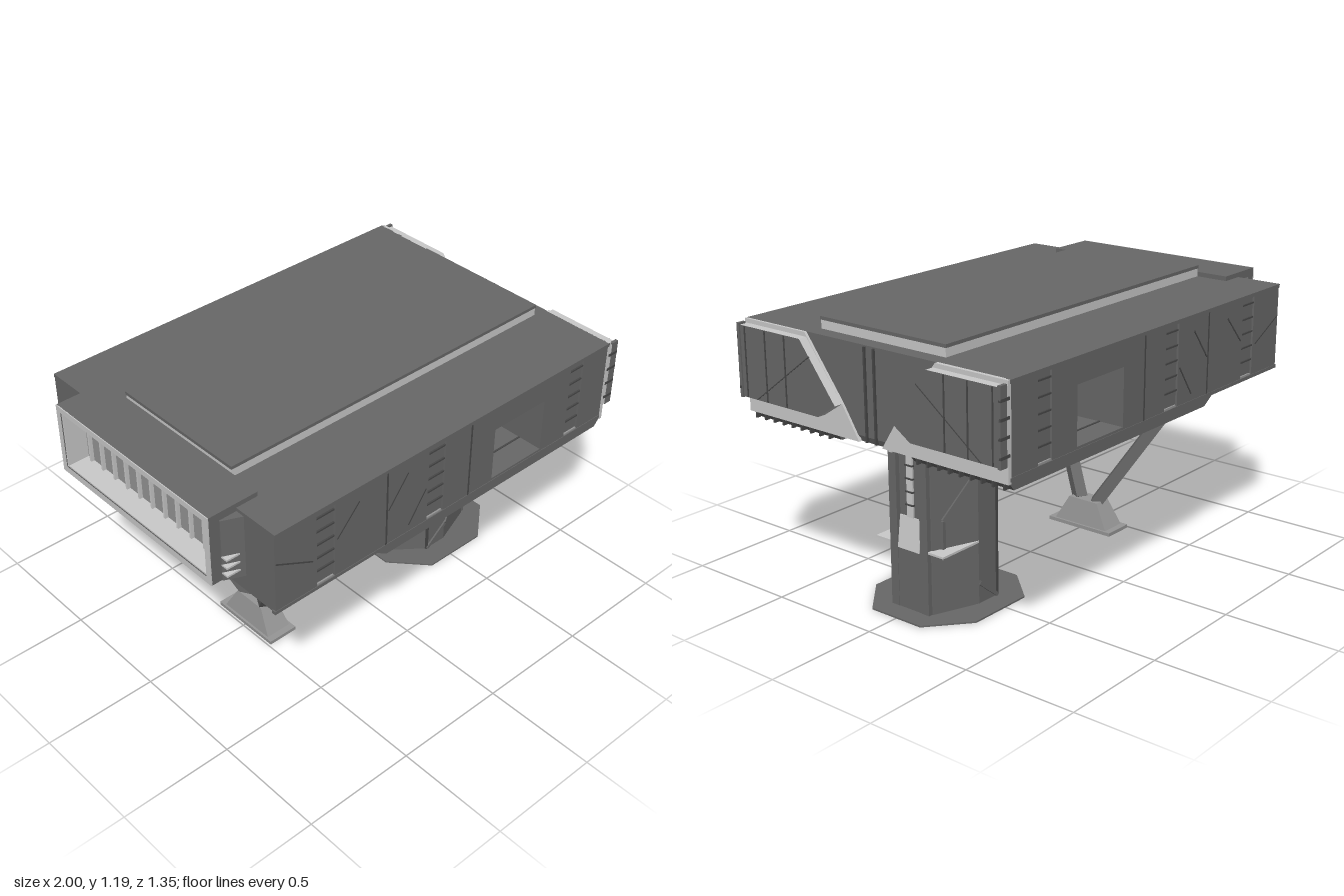
import * as THREE from 'three';

const mat = (name, color) => {
  const m = new THREE.MeshStandardMaterial({ color });
  m.name = name;
  return m;
};

export function createModel() {
  const root = new THREE.Group();
  root.name = 'raisedPlatformBuilding';
  const hull = mat('hullGrey', 0x686868);
  const light = mat('lightGrey', 0xcacaca);
  const seam = mat('seamGrey', 0x484848);
  const mid = mat('footGrey', 0x969696);

  const add = (name, geo, m) => {
    const mesh = new THREE.Mesh(geo, m);
    mesh.name = name;
    root.add(mesh);
    return mesh;
  };
  // Box given by its limits
  const box = (name, m, x0, x1, y0, y1, z0, z1) => {
    const g = new THREE.BoxGeometry(x1 - x0, y1 - y0, z1 - z0);
    g.translate((x0 + x1) / 2, (y0 + y1) / 2, (z0 + z1) / 2);
    return add(name, g, m);
  };
  // The same box on both sides of the z = 0 plane
  const boxPair = (name, m, x0, x1, y0, y1, z0, z1) => {
    box(name + 'Left', m, x0, x1, y0, y1, z0, z1);
    box(name + 'Right', m, x0, x1, y0, y1, -z1, -z0);
  };
  const shapeOf = (pts, hole) => {
    const s = new THREE.Shape(pts.map(p => new THREE.Vector2(...p)));
    if (hole) s.holes.push(new THREE.Path(hole.map(p => new THREE.Vector2(...p))));
    return s;
  };
  const extrude = (shape, depth) => new THREE.ExtrudeGeometry(shape, { depth, bevelEnabled: false });
  // Outline in (x, y), extruded along z
  const alongZ = (name, m, pts, z0, z1, hole) =>
    add(name, extrude(shapeOf(pts, hole), z1 - z0).translate(0, 0, z0), m);
  // Outline in (z, y), extruded along x
  const alongX = (name, m, pts, x0, x1, hole) => {
    const flip = a => a && a.map(([z, y]) => [-z, y]);
    return add(name, extrude(shapeOf(flip(pts), flip(hole)), x1 - x0).rotateY(Math.PI / 2).translate(x0, 0, 0), m);
  };
  // Outline in (x, z), extruded upward
  const alongY = (name, m, pts, y0, y1) =>
    add(name, extrude(shapeOf(pts.map(([x, z]) => [x, -z])), y1 - y0).rotateX(-Math.PI / 2).translate(0, y0, 0), m);
  // Square bar between two points
  const bar = (name, m, a, b, w, d = w) => {
    const A = new THREE.Vector3(...a), B = new THREE.Vector3(...b);
    const mesh = add(name, new THREE.BoxGeometry(w, d, A.distanceTo(B)), m);
    mesh.position.copy(A).lerp(B, 0.5);
    mesh.lookAt(B);
  };
  const rect = (a, b, c, d) => [[a, c], [b, c], [b, d], [a, d]];

  // Main hall with a passage running through it
  const opening = rect(0.27, 0.56, 0.79, 1.03);
  alongZ('hall', hull, [[-0.87, 0.77], [-0.38, 0.77], [-0.35, 0.755], [0.935, 0.755], [0.945, 0.78], [0.945, 1.14], [-0.87, 1.14]],
    -0.662, 0.662, opening);
  alongZ('passageBrace', hull, [[0.52, 0.79], [0.56, 0.79], [0.56, 0.88]], -0.1, 0.1);
  for (let i = -4; i <= 4; i++) {
    box('passageFloorSeam', seam, 0.27, 0.56, 0.788, 0.793, i * 0.14 - 0.004, i * 0.14 + 0.004);
    box('passageCeilingSeam', seam, 0.27, 0.56, 1.027, 1.032, i * 0.14 - 0.004, i * 0.14 + 0.004);
  }

  // Underside slabs either side of a centre channel
  for (const s of [-1, 1]) {
    alongZ('undersideSlab', hull, [[-0.38, 0.772], [-0.31, 0.727], [0.92, 0.727], [0.945, 0.757], [0.945, 0.772]],
      s > 0 ? 0.19 : -0.668, s > 0 ? 0.668 : -0.19);
    for (let i = 0; i < 9; i++) {
      const z = s * (0.23 + i * 0.052);
      box('skirtStud', seam, 0.93, 0.95, 0.73, 0.752, z - 0.004, z + 0.004);
    }
  }

  // Raised wall panels, leaving three recessed ladder columns
  for (const [x0, x1] of [[-0.87, -0.67], [-0.58, -0.32], [-0.315, -0.1], [-0.01, 0.13], [0.79, 0.945]])
    boxPair('wallPanel', hull, x0, x1, 0.78, 1.125, 0.66, 0.671);
  for (const s of [-1, 1])
    alongZ('doorPanel', hull, rect(0.135, 0.71, 0.78, 1.125), s > 0 ? 0.66 : -0.671, s > 0 ? 0.671 : -0.66, opening);
  for (const x of [-0.625, -0.055, 0.75]) {
    for (let i = 0; i < 5; i++)
      boxPair('columnRung', seam, x - 0.044, x + 0.044, 0.845 + i * 0.062, 0.852 + i * 0.062, 0.66, 0.669);
    boxPair('columnFoot', mid, x - 0.04, x + 0.04, 0.775, 0.787, 0.66, 0.669);
  }
  boxPair('topRim', hull, -0.87, 0.945, 1.125, 1.14, 0.655, 0.675);
  boxPair('bottomRim', hull, -0.875, 0.945, 0.765, 0.78, 0.655, 0.673);
  for (const x of [-0.3175, 0.1325])
    boxPair('wallSeam', seam, x - 0.004, x + 0.004, 0.78, 1.125, 0.665, 0.6725);
  for (const z of [-0.671, 0.671]) {
    bar('wallCrease', seam, [-0.865, 1.0, z], [-0.69, 0.913, z], 0.003, 0.006);
    bar('wallCrease', seam, [-0.57, 0.95, z], [-0.46, 1.07, z], 0.003, 0.006);
    bar('wallCrease', seam, [-0.31, 0.94, z], [-0.21, 1.07, z], 0.003, 0.006);
    bar('wallCrease', seam, [-0.2, 0.81, z], [-0.11, 0.94, z], 0.003, 0.006);
  }

  // Roof deck: pale edge under a dark cap
  box('roofEdge', light, -0.77, 0.88, 1.14, 1.176, -0.32, 0.32);
  box('roofCap', hull, -0.772, 0.882, 1.176, 1.19, -0.323, 0.323);

  // Shield panels and pale skirt on the right end
  for (const s of [-1, 1]) {
    const side = pts => pts.map(([z, y]) => [s * z, y]);
    alongX('endSkirt', light, side([[0.673, 0.757], [0.06, 0.757], [0.145, 0.89], [0.335, 1.14], [0.673, 1.14]]), 0.94, 0.956);
    alongX('shieldPanel', [hull, light],
      side([[0.673, 0.828], [0.24, 0.828], [0.145, 0.89], [0.325, 1.122], [0.673, 1.122]]), 0.956, 0.994);
    bar('shieldCrease', seam, [0.994, 1.06, s * 0.275], [0.994, 0.83, s * 0.58], 0.004);
    for (const z of [0.41, 0.52, 0.635])
      box('shieldSeam', seam, 0.99, 0.997, 0.83, 1.12, s * z - 0.003, s * z + 0.003);
    box('shieldEdge', hull, 0.965, 1.0, 0.825, 1.13, s * 0.668 - 0.007, s * 0.668 + 0.007);
    for (let i = 0; i < 4; i++)
      box('shieldHinge', seam, 0.95, 1.0, 0.86 + i * 0.07, 0.872 + i * 0.07, s * 0.67 - 0.006, s * 0.67 + 0.006);
    box('centreRib', seam, 0.94, 0.954, 0.76, 1.135, s * 0.024 - 0.004, s * 0.024 + 0.004);
  }

  // Window bay on the left end
  alongX('windowBay', hull, rect(-0.467, 0.467, 0.845, 1.16), -0.996, -0.77, rect(-0.44, 0.44, 0.875, 1.135));
  alongX('bayFrame', light, rect(-0.467, 0.467, 0.845, 1.16), -1, -0.995, rect(-0.44, 0.44, 0.875, 1.135));
  box('baySill', light, -0.995, -0.87, 0.873, 0.88, -0.44, 0.44);
  boxPair('bayJamb', light, -0.995, -0.87, 0.875, 1.135, 0.434, 0.441);
  box('bayGlazing', mid, -0.9, -0.86, 0.875, 1.135, -0.44, 0.44);
  for (let i = -5; i <= 5; i++)
    box('bayMullion', light, -0.915, -0.9, 0.875, 1.135, i * 0.08 - 0.005, i * 0.08 + 0.005);
  box('bayTransom', light, -0.912, -0.9, 1.07, 1.08, -0.44, 0.44);
  for (const s of [-1, 1])
    alongY('bayButtress', hull, [[-0.95, s * 0.46], [-0.95, s * 0.472], [-0.865, s * 0.51], [-0.865, s * 0.46]], 0.845, 1.125);
  for (const y of [0.88, 0.918, 0.956])
    boxPair('baySlot', light, -0.95, -0.88, y - 0.004, y + 0.004, 0.46, 0.5);

  // Pillar on a wide base plate
  alongY('pillar', hull, [[0.315, 0.08], [0.44, 0.178], [0.55, 0.178], [0.745, 0.105], [0.745, -0.105], [0.55, -0.178], [0.44, -0.178], [0.315, -0.08]], 0, 0.76);
  alongY('basePlate', hull, [[0.24, 0.12], [0.38, 0.275], [0.68, 0.275], [0.85, 0.13], [0.85, -0.13], [0.68, -0.275], [0.38, -0.275], [0.24, -0.12]], 0, 0.007);
  boxPair('pillarColumn', hull, 0.72, 0.765, 0, 0.756, 0.06, 0.1);
  box('pillarApron', hull, 0.72, 0.763, 0, 0.265, -0.06, 0.06);
  alongZ('hatch', light, [[0.74, 0.265], [0.768, 0.265], [0.75, 0.4], [0.74, 0.4]], -0.057, 0.057);
  box('ladderBack', light, 0.74, 0.753, 0.4, 0.75, -0.016, 0.016);
  for (let i = 0; i < 6; i++)
    box('ladderRung', seam, 0.74, 0.758, 0.45 + i * 0.055, 0.456 + i * 0.055, -0.02, 0.02);
  boxPair('columnLamp', light, 0.755, 0.772, 0.66, 0.7, 0.072, 0.088);
  box('pillarLedge', light, 0.55, 0.763, 0.273, 0.282, -0.18, 0.18);
  for (const s of [-1, 1]) {
    const pipe = [[0.44, 0.72, 0.178], [0.55, 0.585, 0.178], [0.7, 0.4, 0.124], [0.7, 0.24, 0.124], [0.55, 0.1, 0.178], [0.44, 0.01, 0.178]]
      .map(([x, y, z]) => [x, y, s * z]);
    for (let i = 0; i < pipe.length - 1; i++) bar('pillarPipe', hull, pipe[i], pipe[i + 1], 0.016);
    box('pillarCornerStrip', seam, 0.434, 0.446, 0.007, 0.73, s * 0.178 - 0.004, s * 0.178 + 0.004);
  }

  // Splayed struts on a tapered foot
  for (const s of [-1, 1])
    bar('strut', hull, [-0.42, 0.115, s * 0.045], [-0.645, 0.785, s * 0.44], 0.052);
  box('footPlate', mid, -0.49, -0.35, 0, 0.016, -0.17, 0.17);
  const foot = new THREE.BoxGeometry(0.12, 0.112, 0.28);
  const p = foot.attributes.position;
  for (let i = 0; i < p.count; i++)
    if (p.getY(i) > 0) p.setXYZ(i, p.getX(i) * 0.7, p.getY(i), p.getZ(i) * 0.55);
  foot.computeVertexNormals();
  add('foot', foot.translate(-0.42, 0.072, 0), mid);

  return root;
}
